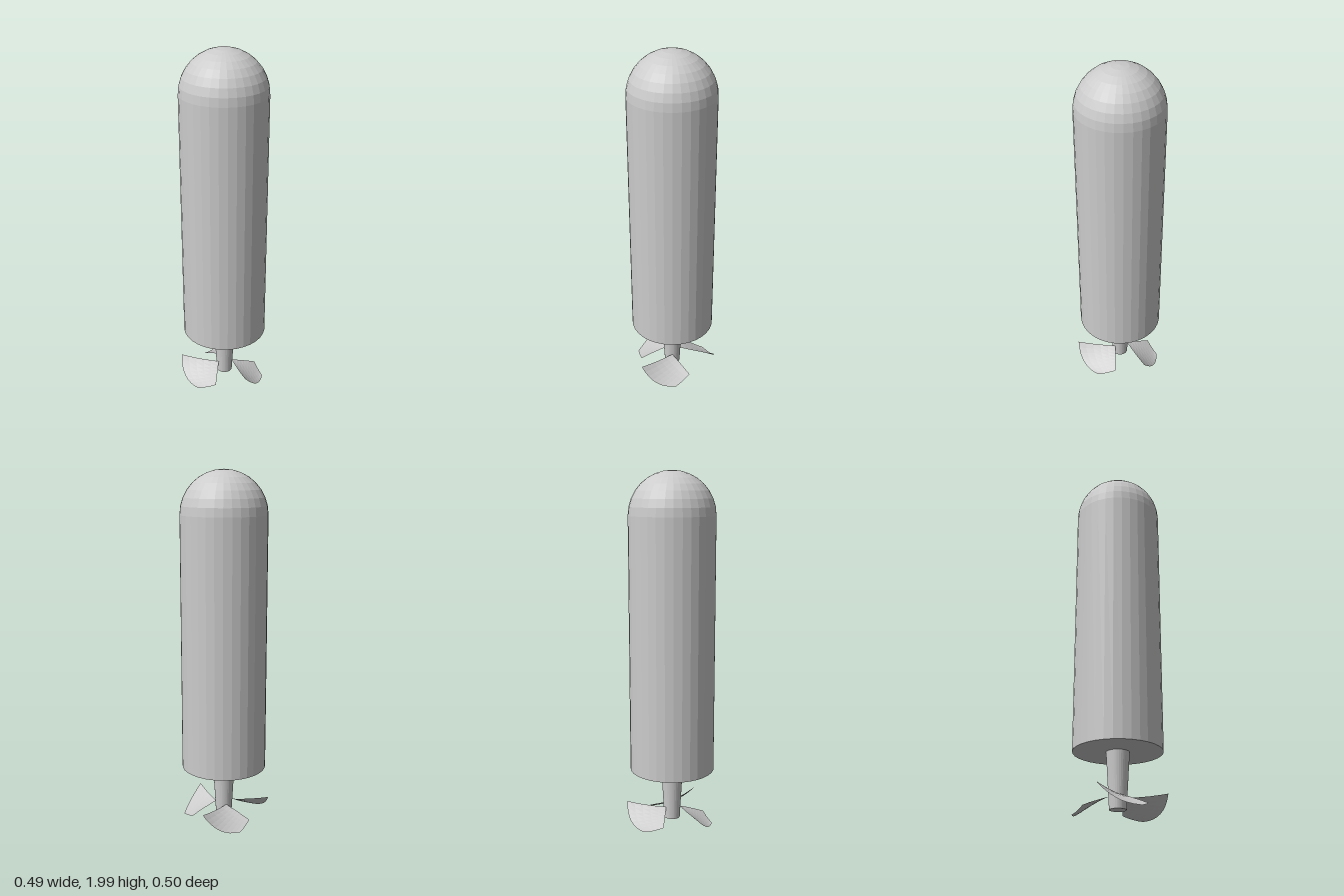
import * as THREE from 'three';

const mat = new THREE.MeshStandardMaterial({ color: 0xcccccc, flatShading: true });
const thinMat = new THREE.MeshStandardMaterial({ color: 0xcccccc, flatShading: true, side: THREE.DoubleSide });

function part(name, geometry, material, y = 0) {
  const mesh = new THREE.Mesh(geometry, material);
  mesh.name = name;
  mesh.position.y = y;
  return mesh;
}

// Swept, cupped blade: a sheet ruled between its root edge and its curved tip edge
function bladeGeometry() {
  const V = (x, y, z) => new THREE.Vector3(x, y, z);
  const tip = new THREE.QuadraticBezierCurve3(V(0.241, 0.12, 0.098), V(0.276, 0.005, 0.006), V(0.207, 0.01, -0.11));
  const root = new THREE.QuadraticBezierCurve3(V(0.042, 0.1, -0.018), V(0.075, 0.075, -0.085), V(0.109, 0.04, -0.156));
  const across = 8, along = 5;
  const geo = new THREE.PlaneGeometry(1, 1, across, along);
  const pos = geo.attributes.position;
  for (let j = 0; j <= along; j++) {
    for (let i = 0; i <= across; i++) {
      const v = j / along;
      const p = root.getPoint(i / across).lerp(tip.getPoint(i / across), v);
      // slight sag between hub and tip
      p.y -= 0.02 * v * (1 - v);
      pos.setXYZ(j * (across + 1) + i, p.x, p.y, p.z);
    }
  }
  geo.computeVertexNormals();
  return geo;
}

export function createModel() {
  const model = new THREE.Group();
  model.name = 'propellerCapsule';
  const axis = new THREE.Group();
  axis.name = 'capsule';
  axis.position.set(-0.005, 0, 0.009);
  model.add(axis);

  // Hull: domed cylinder with a flat base
  const profile = [new THREE.Vector2(0, 0.33), new THREE.Vector2(0.239, 0.33)];
  for (let k = 0; k <= 8; k++) {
    const a = (k / 8) * Math.PI / 2;
    profile.push(new THREE.Vector2(k === 8 ? 0 : 0.239 * Math.cos(a), 1.761 + 0.239 * Math.sin(a)));
  }
  axis.add(part('hull', new THREE.LatheGeometry(profile, 32), mat));

  // Tapered drive shaft
  axis.add(part('shaft', new THREE.CylinderGeometry(0.062, 0.045, 0.3, 32), mat, 0.18));

  // Propeller
  const propeller = new THREE.Group();
  propeller.name = 'propeller';
  const geo = bladeGeometry();
  for (let i = 0; i < 3; i++) {
    const blade = part('blade', geo, thinMat);
    blade.rotation.y = (i * Math.PI * 2) / 3;
    propeller.add(blade);
  }
  axis.add(propeller);
  return model;
}
